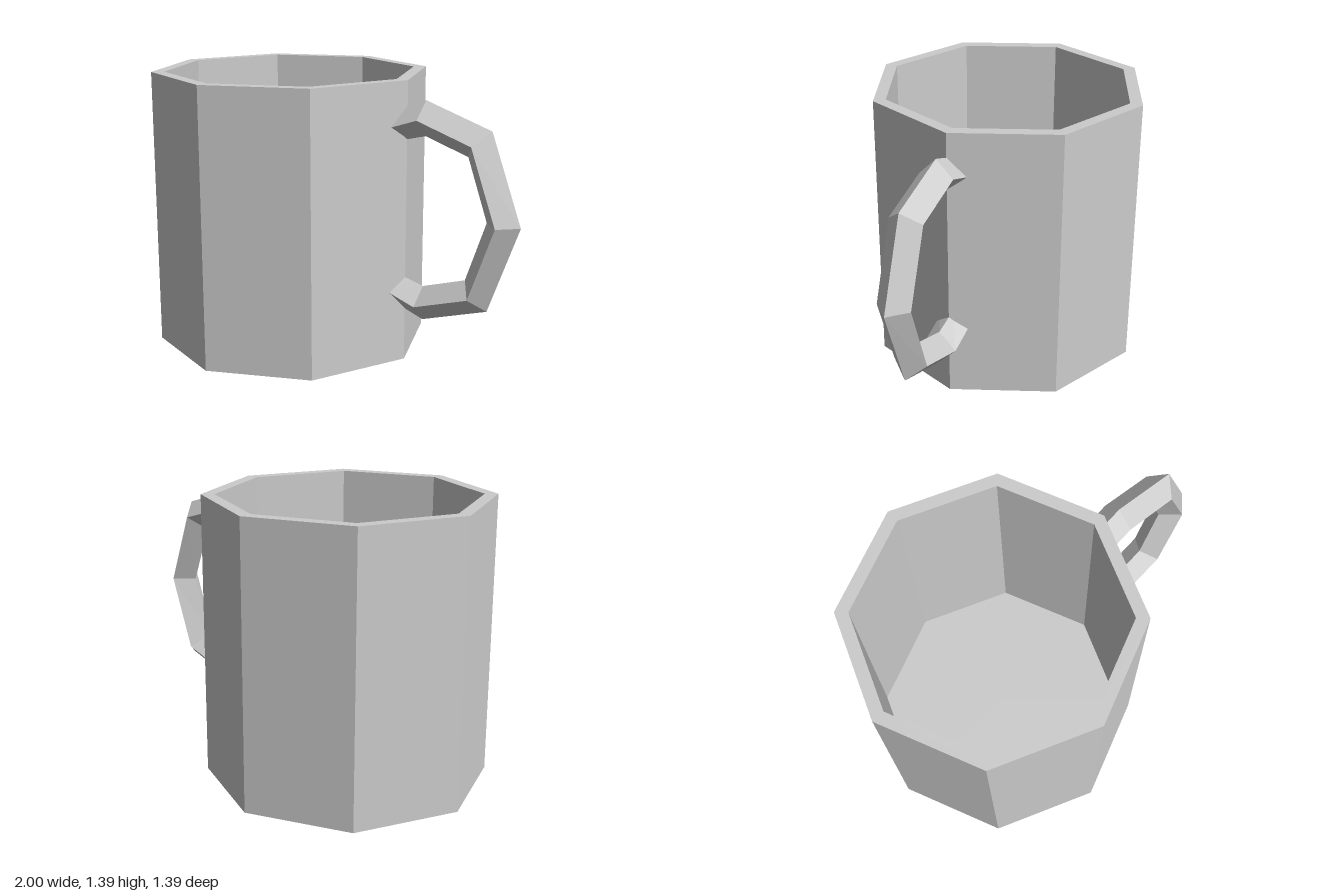
import * as THREE from 'three';

const MID_Y = 0.767;

// Diamond-section bar bent into a handle: each station gives the
// outer, side and inner corner as [x, height above handle middle].
function handleGeometry() {
  const half = [
    { outer: [0.335, 0.484], side: [0.325, 0.398], inner: [0.345, 0.332] },
    { outer: [0.49, 0.538], side: [0.49, 0.453], inner: [0.49, 0.368] },
    { outer: [0.84, 0.428], side: [0.78, 0.362], inner: [0.72, 0.296] },
    { outer: [1.0, 0], side: [0.913, 0], inner: [0.826, 0] },
  ];
  const flip = ([x, y]) => [x, -y];
  const lower = half.slice(0, 3).reverse().map((s) => ({
    outer: flip(s.outer), side: flip(s.side), inner: flip(s.inner),
  }));
  const stations = [...half, ...lower];

  const w = 0.085;
  const positions = [];
  const index = [];
  for (const { outer, side, inner } of stations) {
    for (const [[x, y], z] of [[outer, 0], [side, w], [inner, 0], [side, -w]]) {
      positions.push(x, MID_Y + y, z);
    }
  }
  for (let i = 0; i < stations.length - 1; i++) {
    for (let j = 0; j < 4; j++) {
      const a = i * 4 + j;
      const b = i * 4 + ((j + 1) % 4);
      index.push(a, b, a + 4, b, b + 4, a + 4);
    }
  }
  // end caps, buried in the wall
  const e = (stations.length - 1) * 4;
  index.push(0, 2, 1, 0, 3, 2, e, e + 1, e + 2, e, e + 2, e + 3);

  const g = new THREE.BufferGeometry();
  g.setAttribute('position', new THREE.Float32BufferAttribute(positions, 3));
  g.setIndex(index);
  const flat = g.toNonIndexed();
  flat.computeVertexNormals();
  return flat;
}

export function createModel() {
  const group = new THREE.Group();
  group.name = 'mug';
  const material = new THREE.MeshStandardMaterial({ color: 0xcccccc, flatShading: true });

  // Eight-sided hollow body: base, outer wall, rim, inner wall, floor
  const R = 0.694, r = 0.63, H = 1.39, floor = 0.065;
  const profile = [[0, 0], [R, 0], [R, H], [r, H], [r, floor], [0, floor]]
    .map(([x, y]) => new THREE.Vector2(x, y));
  const body = new THREE.Mesh(new THREE.LatheGeometry(profile, 8), material);
  body.name = 'body';
  body.position.x = -0.306;
  group.add(body);

  const handle = new THREE.Mesh(handleGeometry(), material);
  handle.name = 'handle';
  group.add(handle);

  return group;
}
